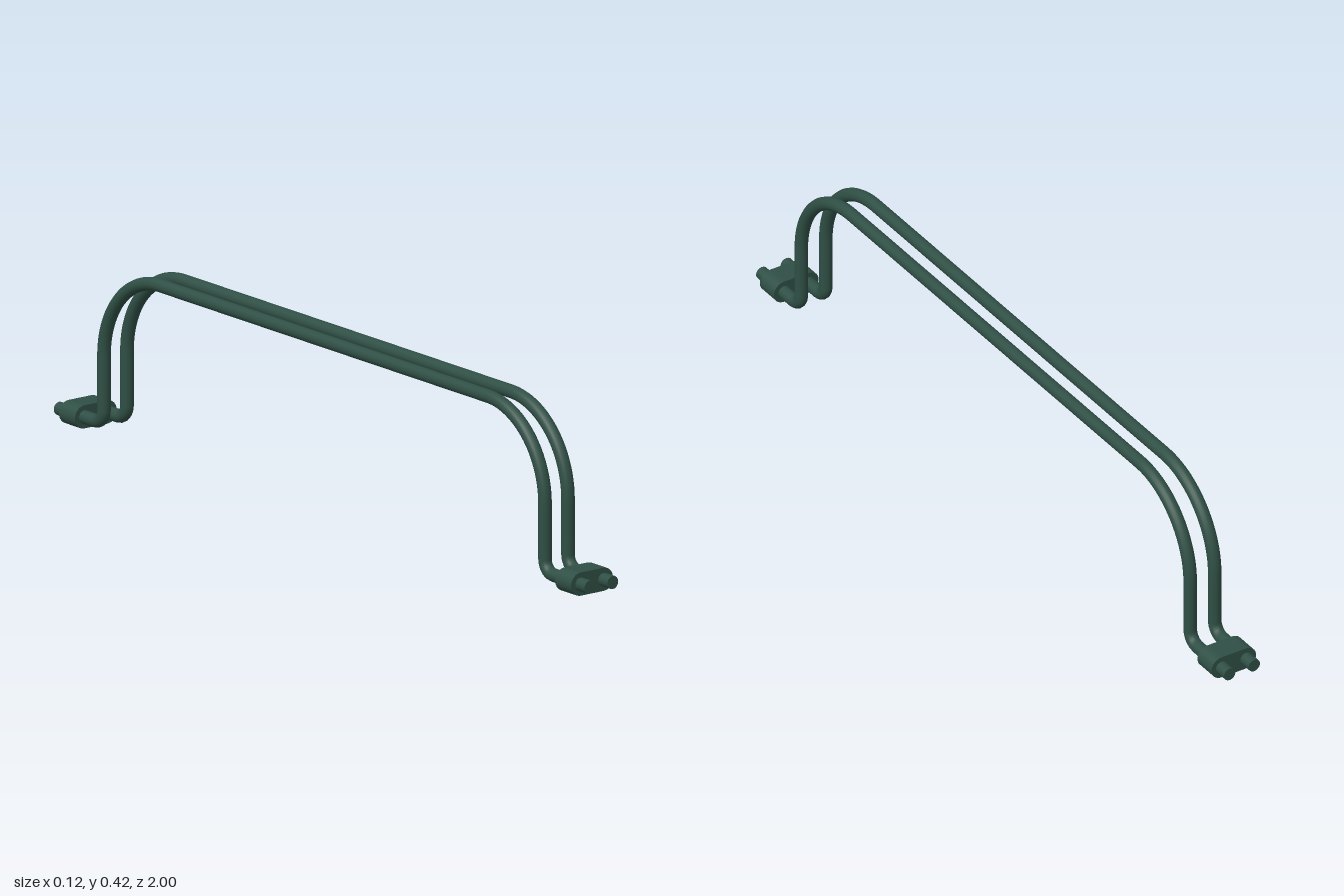
import * as THREE from 'three';

const R = 0.016, RAIL_X = 0.034, LOW = 0.029, HIGH = 0.408, LEG_Z = 0.831;
const BIG = 0.215, SMALL = 0.032;

// Path in the YZ plane through corner points, each rounded to its radius
function roundedPath(corners) {
  const path = new THREE.CurvePath();
  const v = corners.map(([z, y]) => new THREE.Vector3(0, y, z));
  let last = v[0];
  for (let i = 1; i < v.length - 1; i++) {
    const r = corners[i][2], k = 0.4477;
    const a = v[i - 1].clone().sub(v[i]).normalize();
    const b = v[i + 1].clone().sub(v[i]).normalize();
    const at = (d, s) => v[i].clone().addScaledVector(d, s);
    path.add(new THREE.LineCurve3(last, at(a, r)));
    path.add(new THREE.CubicBezierCurve3(at(a, r), at(a, r * k), at(b, r * k), at(b, r)));
    last = at(b, r);
  }
  path.add(new THREE.LineCurve3(last, v[v.length - 1]));
  return path;
}

export function createModel() {
  const model = new THREE.Group();
  const paint = new THREE.MeshStandardMaterial({ color: 0x2f4f45 });
  const add = (name, geometry, x, y, z) => {
    const mesh = new THREE.Mesh(geometry, paint);
    mesh.name = name;
    mesh.position.set(x, y, z);
    model.add(mesh);
    return mesh;
  };

  // Two parallel bent rails with flat end caps
  const path = roundedPath([
    [1, LOW], [LEG_Z, LOW, SMALL], [LEG_Z, HIGH, BIG],
    [-LEG_Z, HIGH, BIG], [-LEG_Z, LOW, SMALL], [-1, LOW],
  ]);
  const rail = new THREE.TubeGeometry(path, 260, R, 16, false);
  const cap = new THREE.CircleGeometry(R, 16);
  for (const side of [1, -1]) {
    const name = side > 0 ? 'left' : 'right';
    add(name + 'Rail', rail, side * RAIL_X, 0, 0);
    add(name + 'FrontCap', cap, side * RAIL_X, LOW, 1);
    add(name + 'BackCap', cap, side * RAIL_X, LOW, -1).rotation.y = Math.PI;
  }

  // Round-ended clamp blocks joining the rails at both feet
  const outline = new THREE.Shape();
  outline.absarc(RAIL_X, 0, 0.028, -Math.PI / 2, Math.PI / 2);
  outline.absarc(-RAIL_X, 0, 0.028, Math.PI / 2, Math.PI * 1.5);
  outline.closePath();
  const clamp = new THREE.ExtrudeGeometry(outline, { depth: 0.06, bevelEnabled: false, curveSegments: 8 });
  clamp.translate(0, 0, -0.03);
  add('frontClamp', clamp, 0, LOW, 0.935);
  add('backClamp', clamp, 0, LOW, -0.935);

  return model;
}
